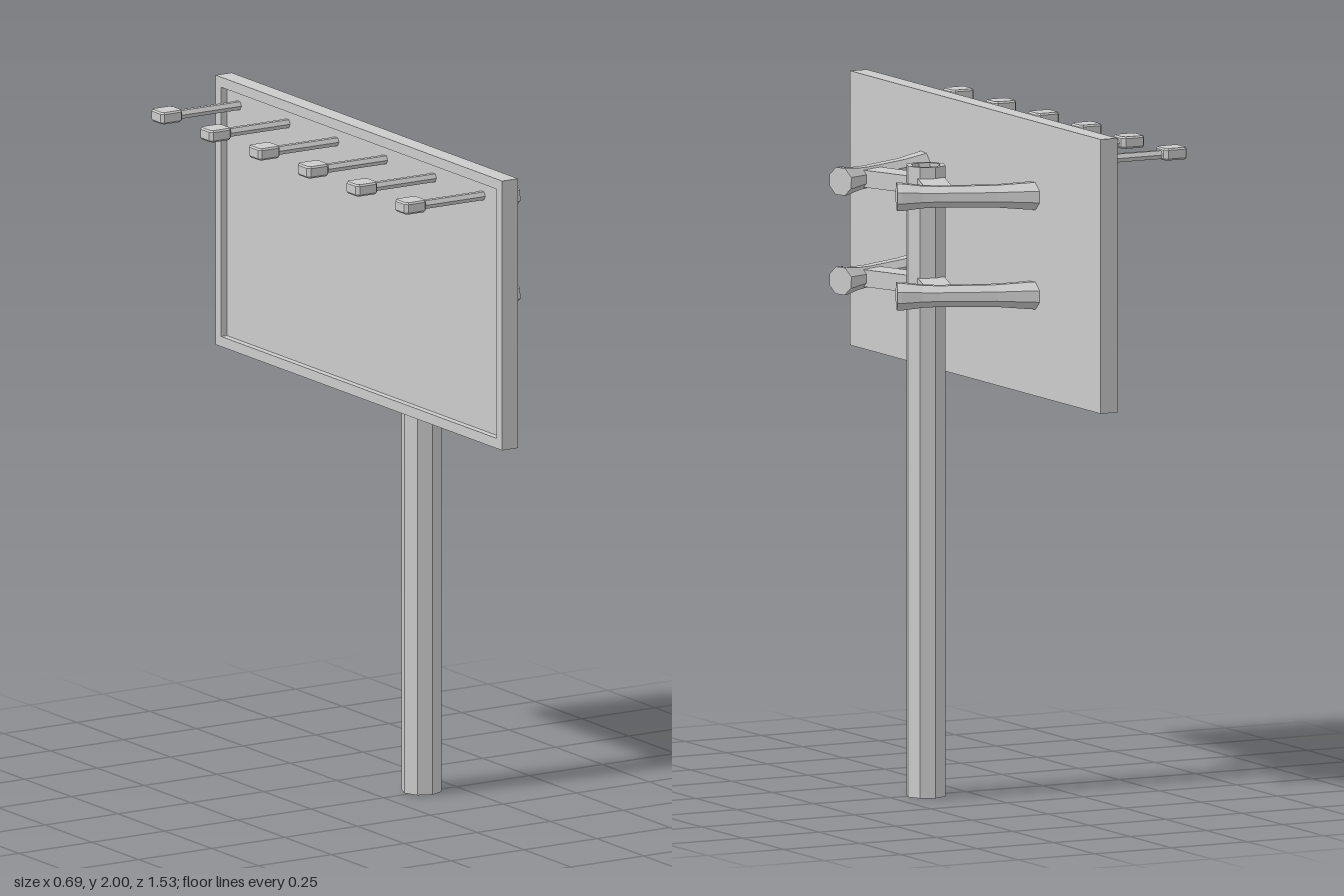
import * as THREE from 'three';

const material = new THREE.MeshStandardMaterial({ color: 0xcccccc, flatShading: true });
const UP = new THREE.Vector3(0, 1, 0);
const POST_X = 0.14, POST_Z = -0.015;

function add(parent, name, geometry, x = 0, y = 0, z = 0) {
  const mesh = new THREE.Mesh(geometry, material);
  mesh.name = name;
  mesh.position.set(x, y, z);
  parent.add(mesh);
  return mesh;
}

const lathe = (profile, sides) =>
  new THREE.LatheGeometry(profile.map(([r, y]) => new THREE.Vector2(r, y)), sides);

const polygon = (points, Type = THREE.Shape) =>
  new Type(points.map(([x, y]) => new THREE.Vector2(x, y)));

const rectangle = (w, y0, y1) => [[-w, y0], [w, y0], [w, y1], [-w, y1]];

// Display board with a raised rim around its face
function buildBoard() {
  const board = new THREE.Group();
  board.name = 'board';
  add(board, 'backPanel', new THREE.BoxGeometry(0.035, 0.8, 1.53), -0.0475, 1.6, 0);
  const rim = polygon(rectangle(0.765, 1.2, 2));
  rim.holes.push(polygon(rectangle(0.735, 1.23, 1.97), THREE.Path));
  const frame = new THREE.ExtrudeGeometry(rim, { depth: 0.02, bevelEnabled: false });
  frame.rotateY(-Math.PI / 2);
  add(board, 'frame', frame, -0.065);
  return board;
}

// Flared round arm running outward from the board, plus the bracket to the post
function buildSupport(y, side) {
  const support = new THREE.Group();
  support.name = 'support';
  const start = new THREE.Vector3(-0.048, y, POST_Z + side * 0.341);
  const end = new THREE.Vector3(0.328, y, POST_Z + side * 0.172);
  const along = end.clone().sub(start);
  const length = along.length();
  const profile = [
    [0, 0], [0.044, 0], [0.042, 0.08], [0.035, 0.3], [0.033, 0.7], [0.035, 0.82],
    [0.043, 0.97], [0.043, 1], [0, 1]
  ].map(([r, t]) => [r, t * length]);
  const arm = add(support, 'arm', lathe(profile, 8), ...start.toArray());
  arm.quaternion.setFromUnitVectors(UP, along.normalize());

  const from = new THREE.Vector3(POST_X + 0.003, y, POST_Z + side * 0.036);
  const to = new THREE.Vector3(POST_X + 0.068, y, POST_Z + side * 0.205);
  const middle = from.clone().lerp(to, 0.5);
  const bracket = add(support, 'bracket',
    new THREE.BoxGeometry(0.08, 0.05, from.distanceTo(to)), ...middle.toArray());
  bracket.lookAt(to);
  return support;
}

// Small lamp on a thin rod, reaching out over the face of the board
function buildLamp(z) {
  const lamp = new THREE.Group();
  lamp.name = 'lamp';
  lamp.position.set(0, 1.927, z);
  const rod = add(lamp, 'lampRod', new THREE.CylinderGeometry(0.014, 0.014, 0.215, 6), -0.1725);
  rod.rotation.z = Math.PI / 2;
  const outline = polygon([
    [-0.345, -0.022], [-0.339, -0.03], [-0.286, -0.03], [-0.278, -0.021],
    [-0.278, 0.021], [-0.286, 0.03], [-0.339, 0.03], [-0.345, 0.022]
  ]);
  const head = new THREE.ExtrudeGeometry(outline, {
    depth: 0.025, bevelThickness: 0.005, bevelSize: 0.004, bevelSegments: 1
  });
  head.rotateX(Math.PI / 2);
  add(lamp, 'lampHead', head, 0, 0.0155);
  return lamp;
}

export function createModel() {
  const model = new THREE.Group();
  model.name = 'billboard';

  // Eight-sided post with a hollowed top
  add(model, 'post', lathe([
    [0, 0], [0.059, 0], [0.059, 1.84], [0.043, 1.84], [0.043, 1.81], [0, 1.81]
  ], 8), POST_X, 0, POST_Z);

  model.add(buildBoard());
  for (const y of [1.492, 1.782])
    for (const side of [-1, 1]) model.add(buildSupport(y, side));
  for (let i = 0; i < 6; i++) model.add(buildLamp(-0.672 + i * 0.2605));

  return model;
}
